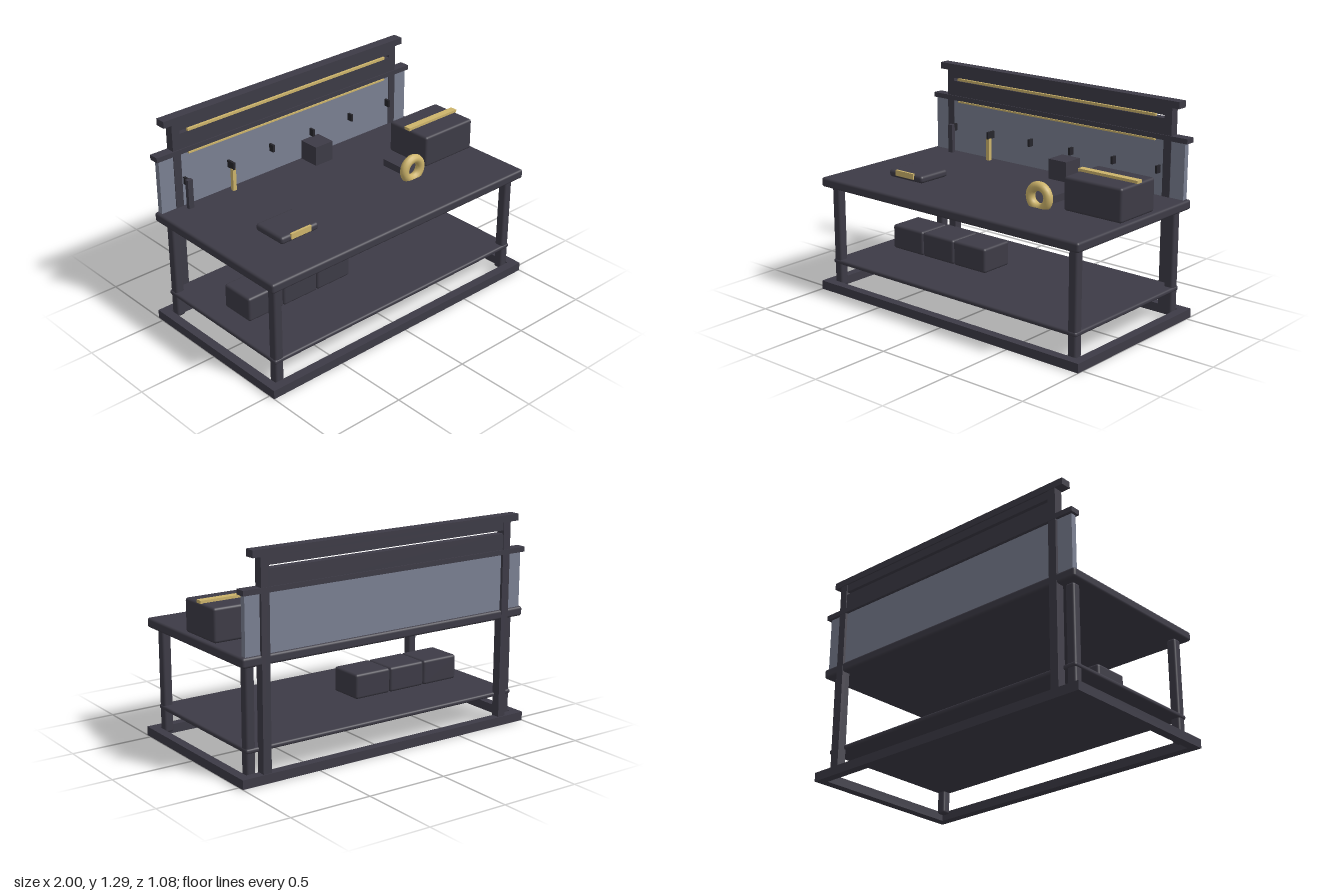
import * as THREE from 'three';
import { RoundedBoxGeometry } from 'three/addons/geometries/RoundedBoxGeometry.js';

export function createModel() {
  const model = new THREE.Group();
  model.name = 'workbench';
  const mat = (name, color) => {
    const m = new THREE.MeshStandardMaterial({ color });
    m.name = name;
    return m;
  };
  const dark = mat('charcoal', 0x3d3b46);
  const black = mat('black', 0x26252b);
  const gold = mat('gold', 0xcdb46b);
  const pane = mat('blueGrey', 0x7a8092);

  // Box given by its min and max on each axis; r rounds the edges
  function box(name, material, [x0, x1], [y0, y1], [z0, z1], r = 0) {
    const w = x1 - x0, h = y1 - y0, d = z1 - z0;
    const geo = r ? new RoundedBoxGeometry(w, h, d, 3, r) : new THREE.BoxGeometry(w, h, d);
    const mesh = new THREE.Mesh(geo, material);
    mesh.name = name;
    mesh.position.set((x0 + x1) / 2, (y0 + y1) / 2, (z0 + z1) / 2);
    model.add(mesh);
    return mesh;
  }

  // Open floor frame
  const rect = (path, x, z) => path.moveTo(-x, -z).lineTo(x, -z).lineTo(x, z).lineTo(-x, z).closePath();
  const frameShape = rect(new THREE.Shape(), 1, 0.54);
  frameShape.holes.push(rect(new THREE.Path(), 0.945, 0.485));
  const frameGeo = new THREE.ExtrudeGeometry(frameShape, { depth: 0.054, bevelEnabled: false });
  frameGeo.rotateX(-Math.PI / 2);
  const frame = new THREE.Mesh(frameGeo, dark);
  frame.name = 'baseFrame';
  model.add(frame);

  // Worktop and lower shelf
  box('worktop', dark, [-0.983, 0.981], [0.662, 0.72], [-0.53, 0.532], 0.015);
  box('lowerShelf', dark, [-0.945, 0.943], [0.17, 0.198], [-0.49, 0.49], 0.012);

  // Legs and tall rear posts
  for (const s of [-1, 1]) {
    const x = s * 0.91;
    for (const z of [-0.455, 0.457]) {
      box('leg', dark, [x - 0.029, x + 0.029], [0.03, 0.664], [z - 0.029, z + 0.029], 0.014);
    }
    const px = s * 0.838;
    box('rearPost', dark, [px - 0.026, px + 0.026], [0.03, 1.26], [-0.533, -0.477]);
  }

  // Back panel, rails and light strips
  box('backPanel', pane, [-0.963, 0.957], [0.715, 1.06], [-0.516, -0.481]);
  box('middleRail', dark, [-0.98, 0.976], [1.055, 1.085], [-0.535, -0.471]);
  box('upperBoard', dark, [-0.815, 0.815], [1.054, 1.181], [-0.528, -0.477]);
  box('upperBeam', dark, [-0.815, 0.815], [1.2, 1.255], [-0.528, -0.477]);
  box('topRail', dark, [-0.92, 0.914], [1.249, 1.29], [-0.537, -0.471]);
  box('upperLightStrip', gold, [-0.765, 0.76], [1.188, 1.203], [-0.478, -0.462]);
  box('lowerLightStrip', gold, [-0.765, 0.76], [1.046, 1.056], [-0.478, -0.463]);

  // Row of pegs with two hanging tools
  for (let i = 0; i < 6; i++) {
    const x = -0.796 + i * 0.317;
    box('peg', black, [x - 0.007, x + 0.007], [0.857, 0.903], [-0.483, -0.445]);
  }
  box('darkTool', dark, [-0.815, -0.78], [0.72, 0.903], [-0.446, -0.421]);
  box('goldTool', gold, [-0.491, -0.467], [0.72, 0.86], [-0.447, -0.424]);
  box('toolHead', black, [-0.487, -0.473], [0.857, 0.903], [-0.445, -0.421]);

  // Storage bins on the shelf
  for (let i = 0; i < 3; i++) {
    const x = -0.812 + i * 0.256;
    box('storageBin', dark, [x, x + 0.254], [0.198, 0.352], [-0.127, 0.1], 0.016);
  }

  // Toolbox with gold strap
  box('toolbox', dark, [0.558, 0.955], [0.72, 0.919], [-0.196, 0.12], 0.016);
  box('toolboxStrap', gold, [0.551, 0.958], [0.917, 0.935], [-0.062, -0.018]);

  // Instrument pad with gold front plate
  box('pad', dark, [-0.685, -0.411], [0.72, 0.766], [0.02, 0.25], 0.018);
  box('padPlate', gold, [-0.62, -0.475], [0.738, 0.773], [0.243, 0.258]);

  // Small cube and bar
  box('cube', dark, [0.08, 0.214], [0.72, 0.844], [-0.477, -0.342]);
  box('bar', dark, [0.388, 0.434], [0.72, 0.764], [-0.07, 0.085]);

  // Standing coil
  const coil = new THREE.Mesh(new THREE.TorusGeometry(0.064, 0.028, 12, 28), gold);
  coil.name = 'coil';
  coil.position.set(0.412, 0.778, 0.152);
  model.add(coil);

  return model;
}
